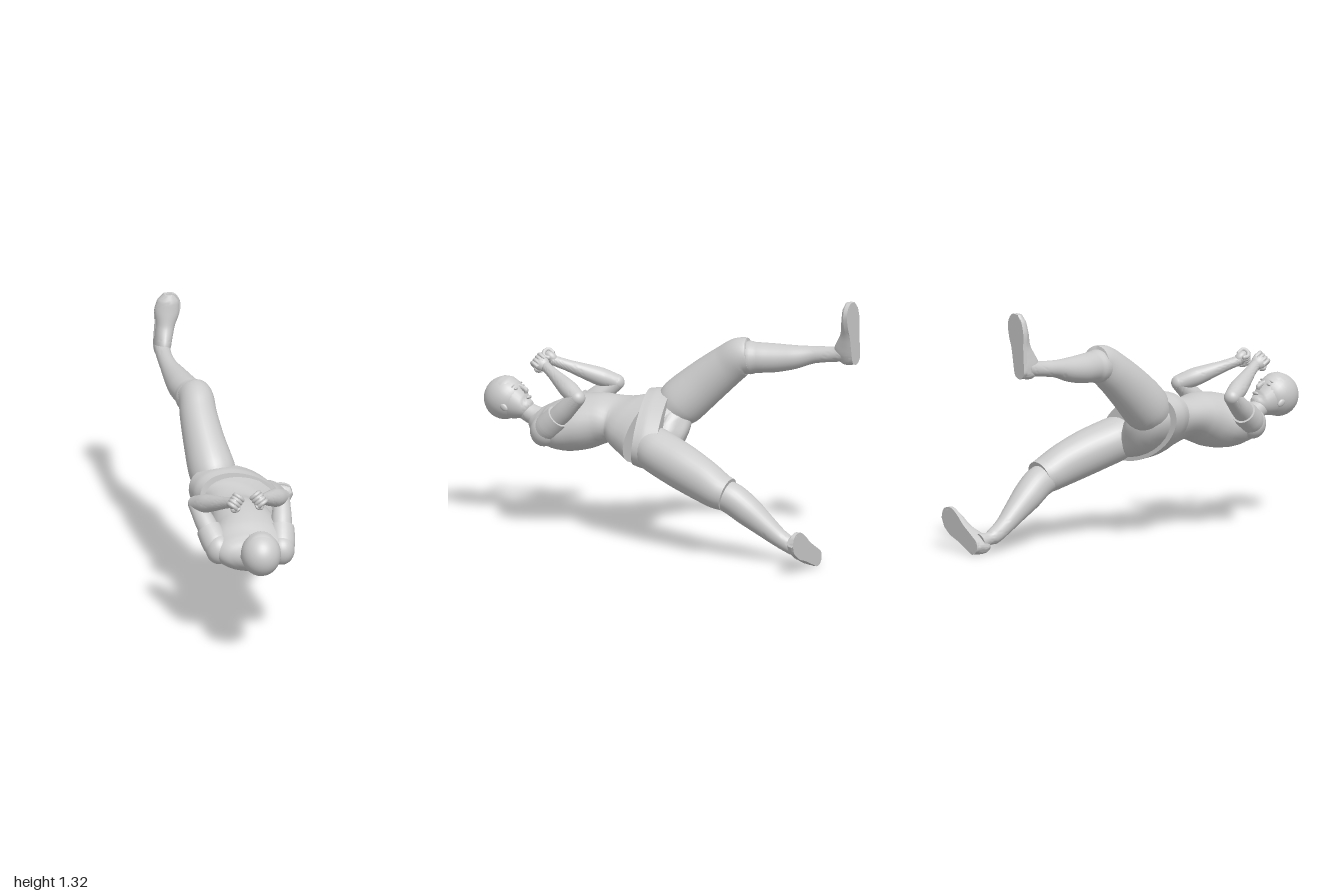
import * as THREE from 'three';
import { toCreasedNormals } from 'three/addons/utils/BufferGeometryUtils.js';

const mat = new THREE.MeshStandardMaterial({ color: 0xcccccc, side: THREE.DoubleSide });

function add(parent, name, geo, pos = [0, 0, 0], scale = [1, 1, 1]) {
  const m = new THREE.Mesh(geo, mat);
  m.name = name;
  m.position.set(...pos);
  m.scale.set(...scale);
  parent.add(m);
  return m;
}

// Smooth loft with elliptical rings; each section is [x, y, z, width, depth, roll]
function loft(sections, { sides = 28, steps = 6, floor = false } = {}) {
  const path = new THREE.CatmullRomCurve3(sections.map(s => new THREE.Vector3(s[0], s[1], s[2])));
  const size = new THREE.CatmullRomCurve3(
    sections.map(s => new THREE.Vector3(s[3], s[4] ?? s[3], (s[5] ?? 0) * Math.PI / 180)));
  const n = (sections.length - 1) * steps, pos = [], idx = [];
  const push = p => pos.push(p.x, floor ? Math.max(0, p.y) : p.y, p.z);
  for (let i = 0; i <= n; i++) {
    const c = path.getPoint(i / n), T = path.getTangent(i / n), r = size.getPoint(i / n);
    const S = new THREE.Vector3(Math.cos(r.z), Math.sin(r.z), 0);
    S.addScaledVector(T, -T.dot(S)).normalize();
    const U = T.clone().cross(S);
    for (let j = 0; j < sides; j++) {
      const a = j / sides * Math.PI * 2;
      push(c.clone().addScaledVector(S, r.x * Math.cos(a)).addScaledVector(U, r.y * Math.sin(a)));
    }
  }
  push(path.getPoint(0));
  push(path.getPoint(1));
  const c0 = (n + 1) * sides;
  for (let j = 0; j < sides; j++) {
    const k = (j + 1) % sides, e = n * sides;
    for (let i = 0; i < n; i++) {
      const a = i * sides + j, b = i * sides + k;
      idx.push(a, b, b + sides, a, b + sides, a + sides);
    }
    idx.push(c0, k, j, c0 + 1, e + j, e + k);
  }
  const g = new THREE.BufferGeometry();
  g.setAttribute('position', new THREE.Float32BufferAttribute(pos, 3));
  g.setIndex(idx);
  return toCreasedNormals(g, 0.8);
}

const ball = new THREE.SphereGeometry(1, 28, 20);

// Group whose local y and z point along the given directions
function frame(name, origin, yDir, zDir) {
  const g = new THREE.Group();
  g.name = name;
  const z = new THREE.Vector3(...zDir).normalize();
  const y = new THREE.Vector3(...yDir);
  y.addScaledVector(z, -y.dot(z)).normalize();
  g.quaternion.setFromRotationMatrix(new THREE.Matrix4().makeBasis(y.clone().cross(z), y, z));
  g.position.set(...origin);
  return g;
}

// Shoe: local y rises from the sole, z runs from heel to toe
function shoe(name, heel, toeDir, inner) {
  const g = frame(name, heel, [0, 0, 1], toeDir);
  const pts = [[0, 0], [0.038, 0.02], [0.045, 0.08], [0.046, 0.15], [0.063, 0.23], [0.06, 0.3], [0.018, 0.342],
    [-0.035, 0.328], [-0.066, 0.25], [-0.054, 0.16], [-0.047, 0.08], [-0.038, 0.02]];
  const outline = new THREE.Shape(
    new THREE.CatmullRomCurve3(pts.map(p => new THREE.Vector3(p[0] * inner, p[1], 0)), true)
      .getPoints(48).slice(0, -1).map(p => new THREE.Vector2(p.x, p.y)));
  const sole = new THREE.ExtrudeGeometry(outline, { depth: 0.022, bevelEnabled: false });
  sole.rotateX(Math.PI / 2).translate(0, 0.022, 0);
  add(g, 'sole', toCreasedNormals(sole, 0.6));
  add(g, 'shoeUpper', loft([
    [0, 0.015, 0.004, 0.022, 0.03], [0, 0.02, 0.022, 0.039, 0.078], [0, 0.02, 0.06, 0.046, 0.105],
    [0, 0.015, 0.11, 0.048, 0.09], [0, 0.012, 0.17, 0.052, 0.063], [-0.002 * inner, 0.01, 0.24, 0.065, 0.052],
    [-0.004 * inner, 0.01, 0.3, 0.056, 0.043], [-0.008 * inner, 0.01, 0.338, 0.026, 0.027]], { floor: true }));
  return g;
}

// Fist: local y runs from wrist to knuckles, z is the back of the hand
function fist(name, wrist, yDir, zDir, thumbSide) {
  const g = frame(name, wrist, yDir, zDir);
  add(g, 'palm', ball, [0, 0.036, -0.004], [0.04, 0.046, 0.03]);
  for (let i = 0; i < 4; i++) {
    const x = (i - 1.5) * 0.019;
    const curl = new THREE.CatmullRomCurve3([[0.03, 0.014], [0.066, 0.012], [0.072, -0.016], [0.052, -0.036], [0.034, -0.026]]
      .map(([y, z]) => new THREE.Vector3(x, y, z)));
    add(g, 'finger', new THREE.TubeGeometry(curl, 14, 0.0115, 8));
    add(g, 'fingertip', ball, [x, 0.034, -0.026], [0.0115, 0.0115, 0.0115]);
  }
  add(g, 'thumb', loft([[0.025 * thumbSide, 0.01, -0.01, 0.013], [0.04 * thumbSide, 0.035, -0.026, 0.012],
    [0.026 * thumbSide, 0.058, -0.043, 0.01], [0.015 * thumbSide, 0.066, -0.045, 0.004]], { sides: 10 }));
  return g;
}

export function createModel() {
  const model = new THREE.Group();
  model.name = 'kickingFigure';

  // Torso, belt and hips, rolled towards the raised leg
  add(model, 'torso', loft([
    [0, 0.565, 0.735, 0.058, 0.042, -3], [-0.005, 0.553, 0.69, 0.12, 0.074, -3], [-0.012, 0.548, 0.635, 0.187, 0.102, -4],
    [-0.014, 0.552, 0.55, 0.205, 0.133, -5], [-0.015, 0.572, 0.45, 0.184, 0.143, -8], [-0.03, 0.6, 0.34, 0.162, 0.129, -13],
    [-0.04, 0.606, 0.25, 0.16, 0.108, -18], [-0.03, 0.598, 0.16, 0.2, 0.127, -23], [-0.02, 0.586, 0.06, 0.245, 0.15, -25]]));
  add(model, 'shirtHem', loft([[-0.001, 0.591, 0.092, 0.254, 0.152, -25], [-0.018, 0.586, 0.035, 0.268, 0.161, -25],
    [-0.037, 0.582, -0.03, 0.268, 0.159, -25]], { sides: 40 }));
  add(model, 'hips', loft([[-0.015, 0.585, 0.04, 0.24, 0.148, -25], [-0.02, 0.58, -0.04, 0.235, 0.14, -26],
    [-0.01, 0.59, -0.085, 0.16, 0.085, -30], [0, 0.595, -0.1, 0.07, 0.035, -30]]));

  // Legs: trousers end at the knee
  add(model, 'rightThigh', loft([[-0.12, 0.64, 0.0, 0.1], [-0.146, 0.715, -0.07, 0.122, 0.128], [-0.175, 0.825, -0.19, 0.108, 0.12],
    [-0.193, 0.925, -0.31, 0.097, 0.107], [-0.197, 0.98, -0.385, 0.092, 0.099], [-0.208, 0.988, -0.43, 0.088, 0.092]]));
  add(model, 'rightShin', loft([[-0.202, 0.97, -0.37, 0.08], [-0.222, 0.977, -0.46, 0.08], [-0.25, 0.98, -0.55, 0.076],
    [-0.275, 0.99, -0.65, 0.064], [-0.303, 1.01, -0.76, 0.045], [-0.316, 1.023, -0.87, 0.04], [-0.318, 1.035, -0.95, 0.042]]));
  add(model, 'leftThigh', loft([[0.105, 0.53, 0.0, 0.11], [0.123, 0.5, -0.08, 0.125, 0.117], [0.15, 0.45, -0.22, 0.118, 0.118],
    [0.17, 0.395, -0.36, 0.105, 0.11], [0.18, 0.352, -0.46, 0.099, 0.096], [0.178, 0.338, -0.51, 0.09, 0.088]]));
  add(model, 'leftShin', loft([[0.173, 0.342, -0.46, 0.08], [0.163, 0.315, -0.53, 0.082], [0.146, 0.258, -0.61, 0.078],
    [0.13, 0.188, -0.7, 0.062], [0.113, 0.12, -0.79, 0.047], [0.098, 0.077, -0.87, 0.042], [0.098, 0.06, -0.95, 0.042]]));
  model.add(shoe('rightShoe', [-0.323, 0.982, -1], [0.15, 1, 0], -1));
  model.add(shoe('leftShoe', [0.06, 0.02, -1], [0.85, 0.47, 0], 1));

  // Arms: short sleeves, bent elbows, fists raised in front of the face
  const arms = [
    { side: 'left', s: [0.15, 0.54, 0.59], e: [0.172, 0.745, 0.38], w: [0.03, 0.85, 0.64], t: 1 },
    { side: 'right', s: [-0.178, 0.56, 0.595], e: [-0.276, 0.732, 0.393], w: [-0.11, 0.848, 0.66], t: -1 }];
  for (const { side, s, e, w, t } of arms) {
    const S = new THREE.Vector3(...s), E = new THREE.Vector3(...e), W = new THREE.Vector3(...w);
    const on = (a, b, k, ...r) => [...a.clone().lerp(b, k).toArray(), ...r];
    add(model, side + 'Shoulder', ball, s, [0.068, 0.08, 0.073]);
    add(model, side + 'Sleeve', loft([on(S, E, 0, 0.066), on(S, E, 0.15, 0.071), on(S, E, 0.3, 0.069), on(S, E, 0.44, 0.065)]));
    add(model, side + 'UpperArm', loft([on(S, E, 0.2, 0.056), on(S, E, 0.6, 0.053), on(S, E, 0.85, 0.046), on(S, E, 1, 0.042)]));
    add(model, side + 'Elbow', ball, e, [0.042, 0.042, 0.042]);
    add(model, side + 'Forearm', loft([on(E, W, 0, 0.042), on(E, W, 0.25, 0.048), on(E, W, 0.5, 0.041),
      on(E, W, 0.8, 0.03), on(E, W, 1, 0.027), on(E, W, 1.08, 0.026)]));
    const dir = W.clone().sub(E).normalize();
    model.add(fist(side + 'Fist', w, [dir.x * 0.4, dir.y, dir.z], [t * 0.8, 0.5, -0.3], -t));
  }

  // Neck and head, chin tucked towards the chest
  add(model, 'neck', loft([[0, 0.56, 0.66, 0.075, 0.055], [0.003, 0.575, 0.72, 0.056, 0.052],
    [0.006, 0.6, 0.78, 0.05], [0.01, 0.635, 0.85, 0.052]]));
  const head = frame('head', [0.012, 0.652, 0.878], [0, 0.6, 0.8], [0, 0.8, -0.6]);
  model.add(head);
  add(head, 'skull', loft([[0, -0.135, 0.06, 0.012, 0.012], [0, -0.125, 0.055, 0.036, 0.034], [0, -0.1, 0.036, 0.062, 0.062],
    [0, -0.05, 0.015, 0.084, 0.09], [0, 0, 0.004, 0.094, 0.106], [0, 0.05, 0, 0.092, 0.104],
    [0, 0.09, 0, 0.07, 0.08], [0, 0.116, 0, 0.025, 0.03]], { steps: 4 }));
  add(head, 'hair', ball, [0, 0.013, -0.008], [0.104, 0.111, 0.115]);
  add(head, 'nose', loft([[0, -0.005, 0.1, 0.008, 0.008], [0, -0.03, 0.104, 0.009, 0.012], [0, -0.052, 0.108, 0.014, 0.014],
    [0, -0.064, 0.096, 0.008, 0.008]], { sides: 12 }));
  add(head, 'lips', ball, [0, -0.088, 0.092], [0.023, 0.009, 0.01]);
  for (const s of [-1, 1]) {
    add(head, 'eye', ball, [s * 0.036, -0.014, 0.094], [0.015, 0.008, 0.008]);
    add(head, 'brow', ball, [s * 0.036, 0.006, 0.095], [0.021, 0.005, 0.008]).rotation.z = -s * 0.12;
    add(head, 'ear', ball, [s * 0.092, -0.035, -0.005], [0.01, 0.027, 0.017]);
  }
  return model;
}
